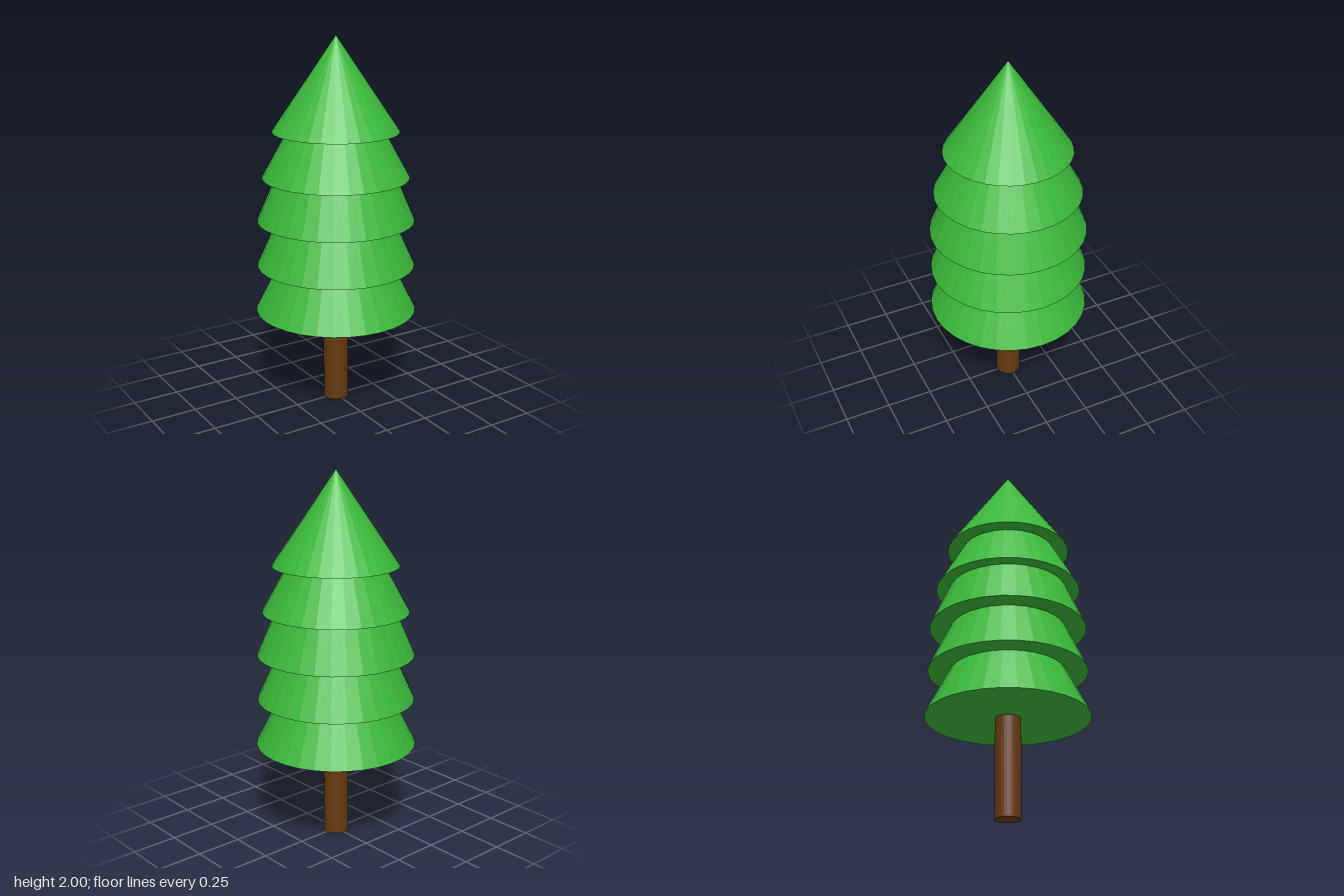
import * as THREE from 'three';

export function createModel() {
  const tree = new THREE.Group();
  tree.name = 'pineTree';
  const leaf = new THREE.MeshStandardMaterial({ color: 0x3ab83a, flatShading: true });
  const bark = new THREE.MeshStandardMaterial({ color: 0x653910, flatShading: true });

  // Vertical round part standing on a given height
  const addRound = (name, rTop, rBottom, y0, y1, material) => {
    const geometry = rTop > 0
      ? new THREE.CylinderGeometry(rTop, rBottom, y1 - y0, 32)
      : new THREE.ConeGeometry(rBottom, y1 - y0, 32);
    const mesh = new THREE.Mesh(geometry, material);
    mesh.name = name;
    mesh.position.y = (y0 + y1) / 2;
    tree.add(mesh);
  };

  addRound('trunk', 0.068, 0.068, 0, 0.56, bark);

  // Foliage tiers from the bottom up: base height, base radius, radius where the next tier begins
  const tiers = [
    [0.527, 0.433, 0.305],
    [0.78, 0.423, 0.31],
    [1.027, 0.42, 0.32],
    [1.26, 0.39, 0.255],
    [1.505, 0.335, 0],
  ];
  tiers.forEach(([y, radius, upper], i) => {
    const top = i < tiers.length - 1 ? tiers[i + 1][0] : 2;
    // Lower tiers run on a little into the tier above
    const overlap = upper > 0 ? 0.04 : 0;
    const slope = (radius - upper) / (top - y);
    addRound(`foliageTier${i + 1}`, upper - slope * overlap, radius, y, top + overlap, leaf);
  });

  return tree;
}
